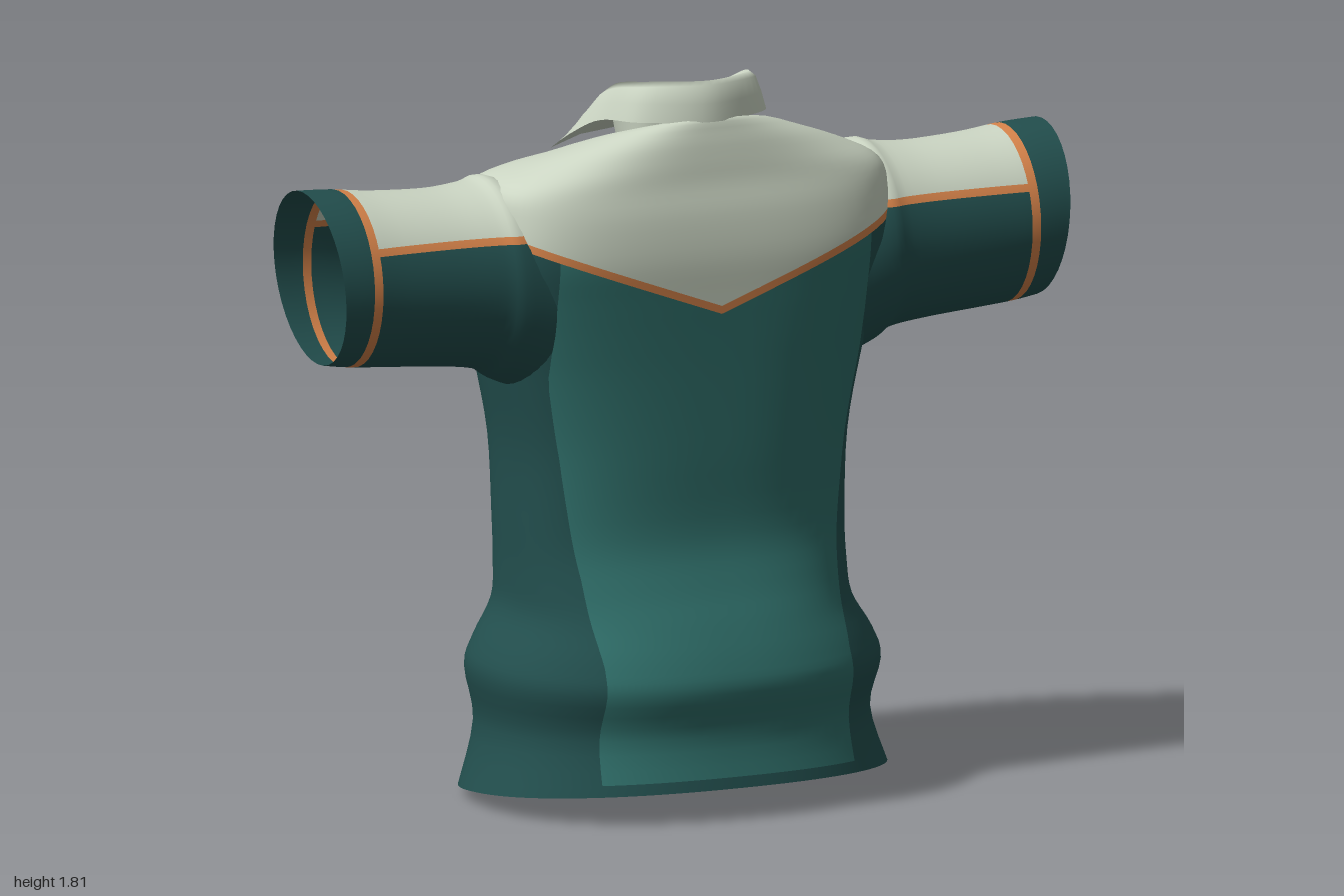
import * as THREE from 'three';

const material = (name, color) => new THREE.MeshStandardMaterial({ name, color, side: THREE.DoubleSide });

// Catmull-Rom interpolation of rows of numbers
function smooth(keys, sub) {
  const out = [], last = keys.length - 1;
  for (let i = 0; i < last; i++) {
    const [a, b, c, d] = [i - 1, i, i + 1, i + 2].map(k => keys[Math.min(last, Math.max(0, k))]);
    for (let s = 0; s < sub; s++) {
      const t = s / sub;
      out.push(b.map((v, k) => v + 0.5 * t * (c[k] - a[k] + t * (2 * a[k] - 5 * v + 4 * c[k] - d[k]
        + t * (3 * (v - c[k]) + d[k] - a[k])))));
    }
  }
  out.push(keys[last]);
  return out;
}

// Skin rows of [x, y, z] points with smooth normals
function loft(rows, closed) {
  const n = rows[0].length, index = [];
  for (let i = 0; i < rows.length - 1; i++) {
    for (let j = 0; j < (closed ? n : n - 1); j++) {
      const k = (j + 1) % n, a = i * n + j, b = i * n + k;
      index.push(a, a + n, b, b, a + n, b + n);
    }
  }
  const g = new THREE.BufferGeometry();
  g.setAttribute('position', new THREE.Float32BufferAttribute(rows.flat(2), 3));
  g.setIndex(index);
  g.computeVertexNormals();
  return g;
}

// Geometry to polygons of [x, y, z, nx, ny, nz] and back
function toPolys(g) {
  const p = g.attributes.position, n = g.attributes.normal, idx = g.index.array, out = [];
  const vert = i => [p.getX(i), p.getY(i), p.getZ(i), n.getX(i), n.getY(i), n.getZ(i)];
  for (let i = 0; i < idx.length; i += 3) out.push([vert(idx[i]), vert(idx[i + 1]), vert(idx[i + 2])]);
  return out;
}
function polyMesh(name, polys, mat) {
  const pos = [], nor = [];
  for (const p of polys) {
    for (let i = 1; i < p.length - 1; i++) {
      for (const v of [p[0], p[i], p[i + 1]]) { pos.push(v[0], v[1], v[2]); nor.push(v[3], v[4], v[5]); }
    }
  }
  const g = new THREE.BufferGeometry();
  g.setAttribute('position', new THREE.Float32BufferAttribute(pos, 3));
  g.setAttribute('normal', new THREE.Float32BufferAttribute(nor, 3));
  const m = new THREE.Mesh(g, mat);
  m.name = name;
  return m;
}
// Cut polygons along f = 0 into [f >= 0, f < 0]
function cut(polys, f) {
  const side = sign => polys.map(p => {
    const out = [];
    p.forEach((a, i) => {
      const b = p[(i + 1) % p.length], fa = sign * f(...a), fb = sign * f(...b);
      if (fa >= 0) out.push(a);
      if ((fa > 0 && fb < 0) || (fa < 0 && fb > 0)) out.push(a.map((v, k) => v + (b[k] - v) * fa / (fa - fb)));
    });
    return out;
  }).filter(p => p.length > 2);
  return [side(1), side(-1)];
}
const mirrorX = polys => polys.map(p => p.map(v => [-v[0], v[1], v[2], -v[3], v[4], v[5]]).reverse());

const SEG = 96;
// Torso ring: height, tilt, half width, +z depth, -z depth, squareness
function torsoRing([y, tilt, w, zp, zm, n]) {
  return Array.from({ length: SEG }, (_, j) => {
    const a = j / SEG * Math.PI * 2, c = Math.cos(a), s = Math.sin(a);
    const r = (Math.abs(c) ** n + Math.abs(s) ** n) ** (-1 / n);
    const z = s * r * (s > 0 ? zp : zm * -1);
    return [c * r * w, y + tilt * z, z];
  });
}
const torsoKeys = [
  [0.05, 0.1, 0.535, 0.405, -0.39, 2.3], [0.2, 0.05, 0.49, 0.38, -0.395, 2.3],
  [0.33, 0, 0.515, 0.41, -0.4, 2.3], [0.4, 0, 0.495, 0.395, -0.385, 2.3],
  [0.49, 0, 0.44, 0.355, -0.372, 2.4], [0.58, 0, 0.43, 0.31, -0.37, 2.5],
  [0.7, 0, 0.43, 0.272, -0.37, 2.6], [0.9, 0, 0.435, 0.275, -0.383, 2.7],
  [1.08, 0, 0.465, 0.28, -0.386, 2.9], [1.2, 0, 0.488, 0.285, -0.375, 3.2],
  [1.3, 0, 0.508, 0.29, -0.335, 3.5], [1.4, 0, 0.525, 0.294, -0.278, 3.8],
  [1.5, 0, 0.525, 0.284, -0.222, 3.8], [1.565, 0.04, 0.51, 0.266, -0.18, 3.6],
  [1.605, 0.12, 0.43, 0.257, -0.168, 3], [1.635, 0.25, 0.32, 0.245, -0.165, 2.6],
  [1.655, 0.35, 0.2, 0.225, -0.17, 2.2], [1.61, 0.35, 0.13, 0.15, -0.13, 2],
  [1.58, 0.35, 0.001, 0.001, -0.001, 2]
];
// Sleeve ring: x, slant, top, bottom, half depth
const sleeveKeys = [
  [0.42, 0, 1.555, 1.05, 0.235], [0.5, 0, 1.59, 1.085, 0.235], [0.55, 0, 1.578, 1.115, 0.222],
  [0.65, 0, 1.57, 1.13, 0.213], [0.8, 0, 1.577, 1.142, 0.208], [0.9, 0.008, 1.59, 1.15, 0.208],
  [0.978, 0.021, 1.595, 1.16, 0.205]
];
function sleeveRing([x, slant, top, bottom, d]) {
  return Array.from({ length: 40 }, (_, j) => {
    const a = j / 40 * Math.PI * 2, s = Math.sin(a);
    return [x + slant * s, (top + bottom) / 2 + s * (top - bottom) / 2, d * Math.cos(a)];
  });
}
// Half width of the body panel by height
const panelSteps = [[0, 0.345], [0.4, 0.33], [0.6, 0.345], [0.9, 0.385], [1.1, 0.42], [2, 0.42]];
function panelWidth(y) {
  const i = Math.max(1, panelSteps.findIndex(s => s[0] >= y));
  const [y0, w0] = panelSteps[i - 1], [y1, w1] = panelSteps[i];
  return w0 + (w1 - w0) * (y - y0) / (y1 - y0);
}

export function createModel() {
  const cream = material('cream cloth', 0xcbd5c3), teal = material('teal cloth', 0x2f6e69);
  const dark = material('dark teal cloth', 0x224e4d), orange = material('orange piping', 0xd6834a);
  const white = material('button white', 0xd8dcd6);
  const shirt = new THREE.Group();
  shirt.name = 'shirt';
  const add = (name, polys, mat) => shirt.add(polyMesh(name, polys, mat));

  // Torso, cut into cloth panels
  const torsoGeometry = loft(smooth(torsoKeys, 4).map(torsoRing), true);
  let rest = toPolys(torsoGeometry), zone;
  [zone, rest] = cut(rest, (x, y, z) => Math.min((y > 1.3 ? 0.028 : 0.02) - Math.abs(x), -z - 0.08));
  add('buttonPlacket', zone, dark);
  const yoke = (x, y) => y - 1.262 - 0.375 * Math.abs(x);
  [zone, rest] = cut(rest, (x, y) => yoke(x, y) - 0.012);
  add('yoke', zone, cream);
  [zone, rest] = cut(rest, (x, y) => yoke(x, y) + 0.008);
  add('yokePiping', zone, orange);
  [zone, rest] = cut(rest, (x, y, z) => 0.078 - y + 0.1 * z);
  add('hem', zone, dark);
  [zone, rest] = cut(rest, (x, y) => panelWidth(y) - Math.abs(x));
  add('bodyPanels', zone, teal);
  add('sidePanels', rest, dark);

  // Closed underside with a lighter centre
  const hemRing = k => torsoRing(torsoKeys[0].map((v, i) => (i > 1 && i < 5 ? v * k : v)));
  add('undersideRim', toPolys(loft([hemRing(0.5), hemRing(1)], true)), dark);
  add('undersideCentre', toPolys(loft([hemRing(0.001), hemRing(0.5)], true)), teal);

  // Sleeves with cuff, piping and cream top
  let parts = toPolys(loft(smooth(sleeveKeys, 4).map(sleeveRing), true));
  const sleeve = [];
  const take = (name, mat, f) => {
    [zone, parts] = cut(parts, f);
    sleeve.push([name, zone, mat]);
  };
  take('Cuff', dark, x => x - 0.9);
  take('CuffPiping', orange, x => x - 0.877);
  take('SleeveTop', cream, (x, y) => y - 1.476);
  take('SleevePiping', orange, (x, y) => y - 1.458);
  sleeve.push(['SleeveUnder', parts, dark]);
  for (const [name, polys, mat] of sleeve) {
    add('left' + name, polys, mat);
    add('right' + name, mirrorX(polys), mat);
  }

  // Collar: inner stand, fold and turned-down leaf, from the middle to one end
  const collarRows = [
    [[0, 1.64, 0.165], [0.12, 1.64, 0.12], [0.14, 1.62, 0.03], [0.1, 1.58, -0.08], [0.025, 1.55, -0.17]],
    [[0, 1.78, 0.195], [0.12, 1.775, 0.14], [0.158, 1.75, 0.035], [0.125, 1.69, -0.08], [0.025, 1.59, -0.175]],
    [[0, 1.823, 0.21], [0.13, 1.82, 0.15], [0.17, 1.798, 0.04], [0.14, 1.735, -0.075], [0.03, 1.625, -0.185]],
    [[0, 1.815, 0.228], [0.142, 1.81, 0.165], [0.183, 1.785, 0.04], [0.165, 1.725, -0.085], [0.06, 1.63, -0.205]],
    [[0, 1.77, 0.236], [0.155, 1.77, 0.17], [0.198, 1.75, 0.04], [0.2, 1.695, -0.09], [0.15, 1.62, -0.208]],
    [[0, 1.725, 0.24], [0.165, 1.725, 0.175], [0.212, 1.71, 0.04], [0.232, 1.655, -0.085], [0.238, 1.598, -0.19]]
  ].map(half => {
    const other = half.slice(1).reverse().map(([x, y, z]) => [-x, y, z]);
    return smooth([...other, ...half], 6);
  });
  add('collar', toPolys(loft(collarRows, false)), cream);

  // Details laid on the button side of the torso
  const target = new THREE.Mesh(torsoGeometry, dark);
  const ray = new THREE.Raycaster();
  const onTorso = (x, y, lift) => {
    ray.set(new THREE.Vector3(x, y, -2), new THREE.Vector3(0, 0, 1));
    const hit = ray.intersectObject(target)[0];
    return [x, y, hit.point.z - lift, ...hit.face.normal.toArray()];
  };
  const patch = (name, x0, x1, y0, y1, lift, mat) => {
    const polys = [], n = 8;
    for (let i = 0; i < n; i++) {
      const a = x0 + (x1 - x0) * i / n, b = x0 + (x1 - x0) * (i + 1) / n;
      polys.push([[a, y0], [a, y1], [b, y1], [b, y0]].map(([x, y]) => onTorso(x, y, lift)));
    }
    add(name, polys, mat);
  };
  patch('leftPocketWelt', 0.11, 0.28, 1.132, 1.15, 0.006, orange);
  patch('rightPocketWelt', -0.28, -0.11, 1.132, 1.15, 0.006, orange);
  patch('pocketTag', -0.245, -0.145, 1.015, 1.05, 0.005, dark);
  patch('tagMarkOuter', -0.215, -0.195, 1.022, 1.043, 0.008, white);
  patch('tagMarkInner', -0.185, -0.172, 1.022, 1.043, 0.008, white);

  // Buttons
  for (let i = 0; i < 7; i++) {
    const button = new THREE.Mesh(new THREE.CylinderGeometry(0.009, 0.009, 0.008, 10), white);
    button.name = 'button';
    button.rotation.x = -Math.PI / 2;
    button.position.fromArray(onTorso(0.001, 0.2 + i * 0.19, 0.003));
    shirt.add(button);
  }
  return shirt;
}
